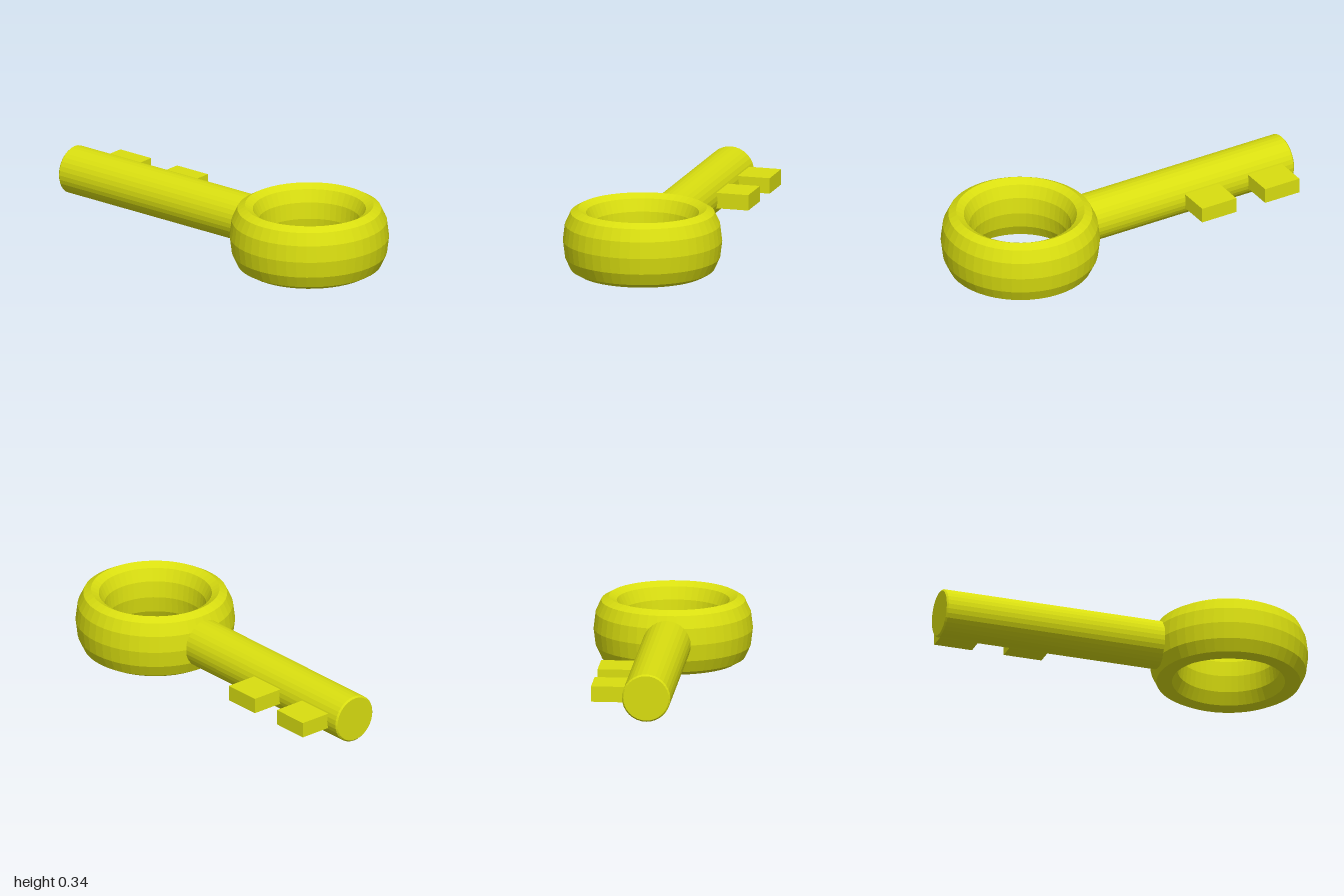
import * as THREE from 'three';

const MID = 0.172; // height of the key's centre plane

export function createModel() {
  const key = new THREE.Group();
  key.name = 'key';
  const yellow = new THREE.MeshStandardMaterial({ color: 0xd9de10, flatShading: true });
  yellow.name = 'yellow';

  const add = (name, geometry, x, y, z) => {
    const mesh = new THREE.Mesh(geometry, yellow);
    mesh.name = name;
    mesh.position.set(x, y, z);
    key.add(mesh);
  };

  // Bow: a faceted torus lying flat, stretched in height
  const bow = new THREE.TorusGeometry(0.333, 0.08, 12, 48);
  bow.rotateX(-Math.PI / 2);
  bow.scale(1, MID / 0.08, 1);
  add('bow', bow, 0, MID, 0.585);

  // Shaft: round bar with a slight chamfer at the tip, its root buried in the bow
  const profile = [[0, 0], [0.126, 0], [0.126, 1.242], [0.118, 1.25], [0, 1.25]];
  const shaft = new THREE.LatheGeometry(profile.map(([r, h]) => new THREE.Vector2(r, h)), 32);
  shaft.rotateX(-Math.PI / 2);
  add('shaft', shaft, 0, MID, 0.25);

  // Bits: two teeth on the model's left side
  [['innerTooth', -0.442], ['outerTooth', -0.823]].forEach(([name, z]) => {
    add(name, new THREE.BoxGeometry(0.19, 0.082, 0.207), 0.197, MID, z);
  });

  return key;
}
